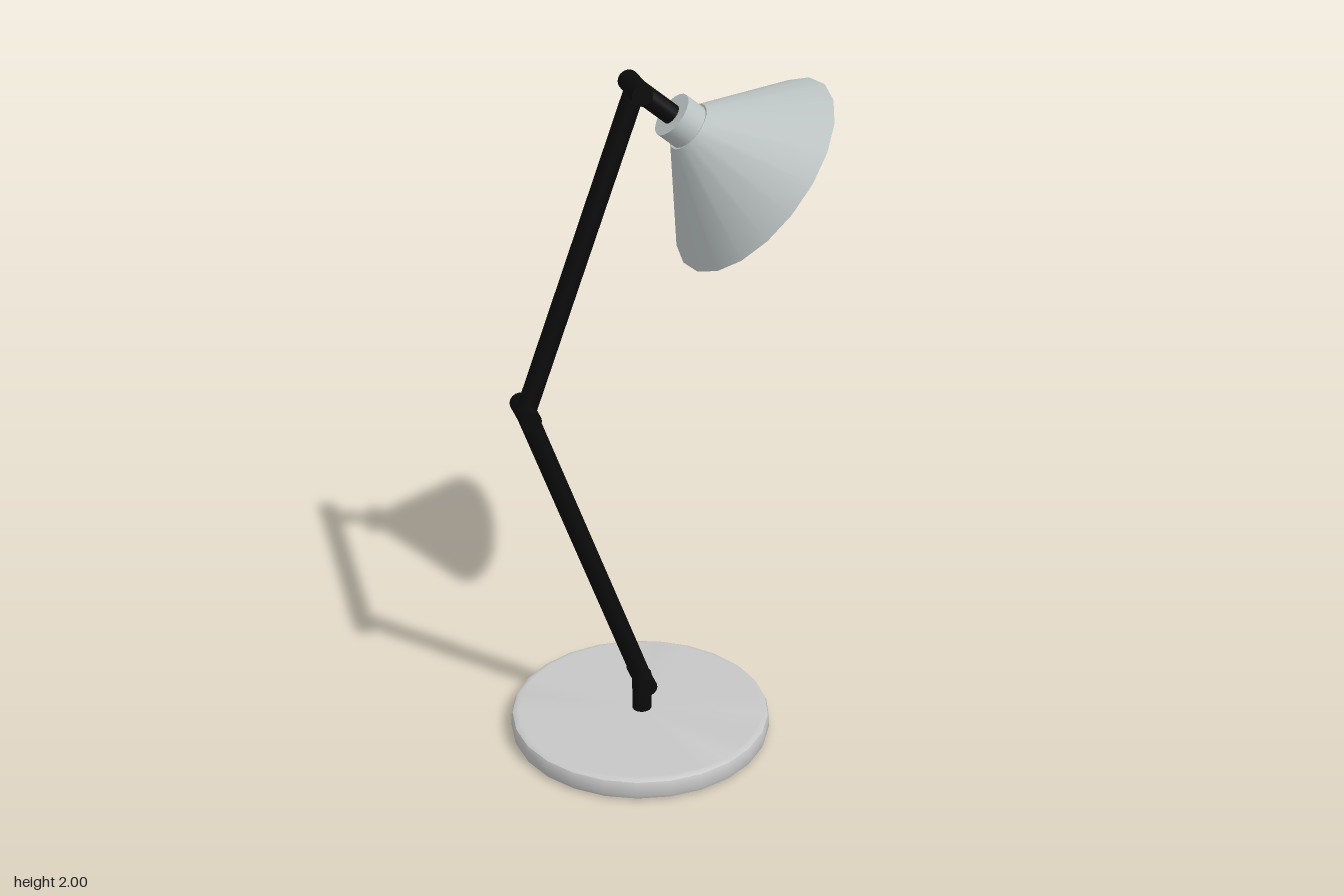
import * as THREE from 'three';
import { toCreasedNormals } from 'three/addons/utils/BufferGeometryUtils.js';

export function createModel() {
  const lamp = new THREE.Group();
  lamp.name = 'deskLamp';

  const baseGrey = new THREE.MeshStandardMaterial({ color: 0xc6c6c6 });
  baseGrey.name = 'base grey';
  const armBlack = new THREE.MeshStandardMaterial({ color: 0x0a0a0a });
  armBlack.name = 'arm black';
  const shadeGrey = new THREE.MeshStandardMaterial({ color: 0xbdc4c4 });
  shadeGrey.name = 'shade grey';

  const add = (parent, name, geometry, material) => {
    const mesh = new THREE.Mesh(geometry, material);
    mesh.name = name;
    parent.add(mesh);
    return mesh;
  };
  // Turned part; the profile runs from bottom to top along its outside
  const turned = (profile, sides) => toCreasedNormals(
    new THREE.LatheGeometry(profile.map(([x, y]) => new THREE.Vector2(x, y)), sides), 0.65);
  // Round rod between two points
  const rod = (name, a, b, radius) => {
    const dir = b.clone().sub(a);
    const mesh = add(lamp, name, new THREE.CylinderGeometry(radius, radius, dir.length(), 16), armBlack);
    mesh.position.copy(a).add(b).multiplyScalar(0.5);
    mesh.quaternion.setFromUnitVectors(new THREE.Vector3(0, 1, 0), dir.normalize());
  };

  // Round base with softened edges
  const base = add(lamp, 'base', turned([
    [0, 0], [0.355, 0], [0.363, 0], [0.374, 0.006], [0.378, 0.017],
    [0.378, 0.048], [0.374, 0.059], [0.363, 0.065], [0.355, 0.065], [0, 0.065],
  ], 25), baseGrey);
  base.position.x = -0.069;
  base.rotation.y = -Math.PI / 2;

  // Arm rods
  const foot = new THREE.Vector3(-0.064, 0.06, 0);
  const low = new THREE.Vector3(-0.064, 0.17, 0);
  const elbow = new THREE.Vector3(-0.389, 1.08, 0);
  const top = new THREE.Vector3(-0.074, 1.971, 0);
  rod('stem', foot, low.clone().setY(0.185), 0.028);
  rod('lowerArm', low, elbow, 0.028);
  rod('upperArm', elbow, top, 0.028);

  // Hinge pins across the arm
  for (const [name, p, r] of [['baseHinge', low, 0.028], ['elbowHinge', elbow, 0.029], ['headHinge', top, 0.029]]) {
    const pin = add(lamp, name, new THREE.CylinderGeometry(r, r, 0.13, 16), armBlack);
    pin.rotation.x = Math.PI / 2;
    pin.position.copy(p);
  }

  // Tilted head, pointing along its own -y
  const head = new THREE.Group();
  head.name = 'head';
  head.position.copy(top);
  head.rotation.z = THREE.MathUtils.degToRad(50);
  lamp.add(head);

  add(head, 'headRod', new THREE.CylinderGeometry(0.028, 0.028, 0.16, 16), armBlack).position.y = -0.08;
  add(head, 'collar', new THREE.CylinderGeometry(0.064, 0.064, 0.075, 20), shadeGrey).position.y = -0.166;

  // Thin conical shade, open at the bottom
  add(head, 'shade', turned([
    [0.294, -0.424], [0.303, -0.427], [0.07, -0.188], [0.06, -0.192], [0.294, -0.424],
  ], 20), shadeGrey);

  // Bulb: neck flaring into a round globe
  const globe = [];
  for (let i = 0; i <= 12; i++) {
    const a = -Math.PI / 2 + (i / 12) * 2.1;
    globe.push([Math.max(0, 0.106 * Math.cos(a)), -0.378 + 0.106 * Math.sin(a)]);
  }
  add(head, 'bulb', turned([...globe, [0.072, -0.285], [0.062, -0.25], [0.06, -0.2]], 24), shadeGrey);

  return lamp;
}
